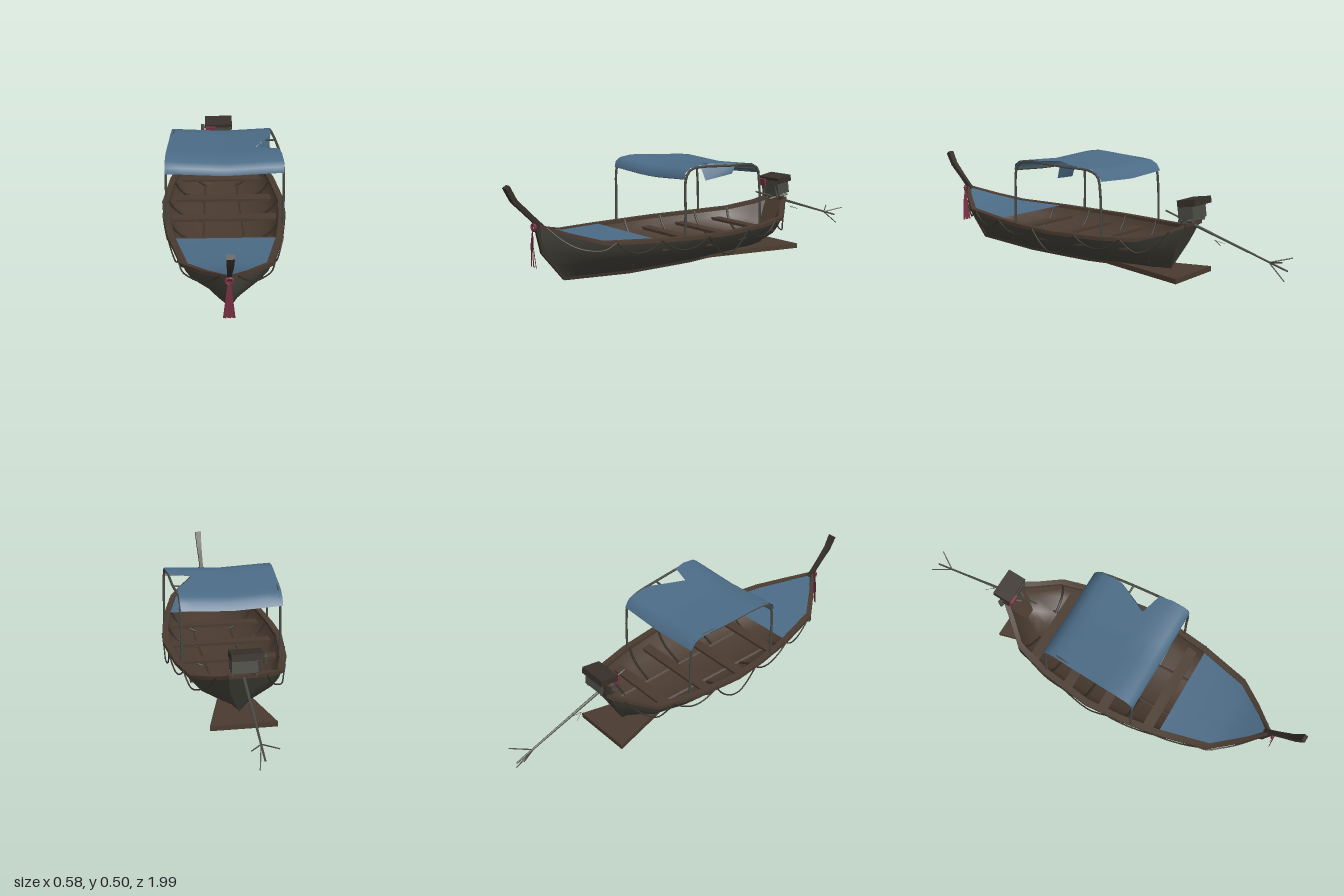
import * as THREE from 'three';
import { toCreasedNormals } from 'three/addons/utils/BufferGeometryUtils.js';

const paint = (name, color) => {
  const m = new THREE.MeshStandardMaterial({ color, side: THREE.DoubleSide });
  m.name = name;
  return m;
};
const V = (x, y, z) => new THREE.Vector3(x, y, z);

// Hull stations, bow to stern: gunwale z, half beam, sheer y, keel z, keel y
const STATIONS = [
  [0.85, 0.006, 0.28, 0.73, 0.04],
  [0.75, 0.1, 0.24, 0.68, 0.034],
  [0.64, 0.185, 0.207, 0.6, 0.028],
  [0.4, 0.243, 0.195, 0.4, 0.015],
  [0.22, 0.268, 0.188, 0.22, 0.012],
  [0.05, 0.28, 0.184, 0.05, 0.01],
  [-0.2, 0.248, 0.184, -0.2, 0.012],
  [-0.37, 0.2, 0.19, -0.34, 0.018],
  [-0.47, 0.11, 0.222, -0.39, 0.024],
  [-0.53, 0.062, 0.25, -0.42, 0.03],
];

function station(z) {
  let i = 0;
  while (i < STATIONS.length - 2 && STATIONS[i + 1][0] > z) i++;
  const a = STATIONS[i], b = STATIONS[i + 1];
  const t = THREE.MathUtils.clamp((a[0] - z) / (a[0] - b[0]), 0, 1);
  return a.map((v, k) => v + (b[k] - v) * t);
}

// Skin a list of equally long rows of points
function loft(rows, crease) {
  const n = rows[0].length, index = [];
  for (let r = 0; r < rows.length - 1; r++)
    for (let c = 0; c < n - 1; c++) {
      const a = r * n + c, b = a + n;
      index.push(a, b, a + 1, a + 1, b, b + 1);
    }
  const g = new THREE.BufferGeometry().setFromPoints(rows.flat());
  g.setIndex(index);
  g.computeVertexNormals();
  return crease ? toCreasedNormals(g, crease) : g;
}

// Full-width cross-section of the hull, from the left gunwale to the right one
function section([z, b, s, kz, k], half, inset) {
  const side = half.map(([fx, fy]) => {
    const bowCurve = z > 0.7 ? Math.sin(Math.PI * fy) * 0.035 * (z - 0.7) / 0.15 : 0;
    return V(Math.max(b - inset, 0) * fx, k + (s - k) * fy, kz + (z - kz) * fy + bowCurve);
  });
  const mirror = side.slice(1).map(p => V(-p.x, p.y, p.z));
  return [...side.slice().reverse(), ...mirror];
}

export function createModel() {
  const root = new THREE.Group();
  root.name = 'longBoat';
  const hullPaint = paint('weatheredHull', 0x45443c);
  const wood = paint('brownWood', 0x4a3b30);
  const darkWood = paint('darkWood', 0x37302a);
  const cloth = paint('blueCloth', 0x4c6c87);
  const red = paint('redCloth', 0x7a3145);
  const metal = paint('dullMetal', 0x4b4b45);
  const rope = paint('rope', 0x35312a);

  const add = (name, geo, mat) => {
    const m = new THREE.Mesh(geo, mat);
    m.name = name;
    root.add(m);
    return m;
  };
  const box = (name, w, h, d, x, y, z, mat, rx = 0) => {
    const m = add(name, new THREE.BoxGeometry(w, h, d), mat);
    m.position.set(x, y, z);
    m.rotation.x = rx;
    return m;
  };
  const rod = (name, a, b, r0, r1, mat, sides = 6) => {
    const m = add(name, toCreasedNormals(new THREE.CylinderGeometry(r1, r0, a.distanceTo(b), sides), 0.9), mat);
    m.position.copy(a).lerp(b, 0.5);
    m.quaternion.setFromUnitVectors(V(0, 1, 0), b.clone().sub(a).normalize());
    return m;
  };
  const tube = (name, pts, r, mat, segs = 16) =>
    add(name, new THREE.TubeGeometry(new THREE.CatmullRomCurve3(pts, false, 'centripetal'), segs, r, 5), mat);

  // Hull skin, inner lining with a flat floor, and raked transom
  const outer = [[0, 0], [0.4, 0.27], [0.78, 0.55], [0.92, 0.77], [1, 1]];
  const inner = [[0, 0.3], [0.4, 0.3], [0.78, 0.56], [0.92, 0.77], [1, 1]];
  const outerRows = STATIONS.map(s => section(s, outer, 0));
  const innerRows = STATIONS.map(s => section(s, inner, 0.012));
  add('hull', loft(outerRows, 0.9), hullPaint);
  add('hullLining', loft(innerRows), wood);
  const stern = outerRows.at(-1);
  const sternTop = stern.map(p => V(p.x, 0.25, -0.53));
  add('transom', loft([stern, sternTop], 0.5), hullPaint);
  add('transomLining', loft([stern, sternTop].map(r => r.map(p => V(p.x, p.y, p.z + 0.008))), 0.5), wood);
  box('sternRail', 0.13, 0.016, 0.028, 0, 0.252, -0.525, wood);

  // Gunwale rails, mirrored
  for (const s of [1, -1])
    add('gunwale', loft(STATIONS.map(([z, b, y]) =>
      [[0.008, 0.007], [-0.022, 0.007], [-0.022, -0.009], [0.008, -0.009], [0.008, 0.007]]
        .map(([dx, dy]) => V(s * Math.max(b + dx, 0), y + dy, z))), 0.6), wood);

  // Keel strip and stem
  const spine = [[0.862, 0.285], [0.835, 0.165], [0.735, 0.035], [0.4, 0.01], [0.05, 0.006], [-0.42, 0.024]];
  add('keel', loft(spine.map(([z, y]) => [[-0.008, 0.008], [-0.008, -0.006], [0.008, -0.006], [0.008, 0.008]]
    .map(([x, d]) => V(x, y + d, z + (y > 0.1 ? -d : 0)))), 0.6), darkWood);

  // Flared prow post
  const post = [[0.835, 0.27, 0.008, 0.014], [0.9, 0.335, 0.01, 0.012], [0.96, 0.395, 0.013, 0.013], [0.992, 0.455, 0.016, 0.012]];
  const postRows = post.map(([z, y, w, d]) => [[1, 1], [-1, 1], [-1, -1], [1, -1], [1, 1]]
    .map(([i, j]) => V(i * w, y + j * d * 0.5, z - j * d * 0.7)));
  const tip = postRows.at(-1);
  add('prowPost', loft([...postRows, tip.map(() => V(0, 0.455, 0.992))], 0.5), darkWood);

  // Red ribbons hanging from the prow
  add('ribbonKnot', new THREE.TorusGeometry(0.014, 0.006, 6, 10), red).position.set(0, 0.275, 0.872);
  for (let i = 0; i < 5; i++) {
    const x = (i - 2) * 0.009;
    const strip = (y, w, dz) => [V(x * (0.28 - y) * 6 - w, y, 0.875 + dz), V(x * (0.28 - y) * 6 + w, y, 0.878 + dz)];
    add('ribbon', loft([strip(0.278, 0.005, 0), strip(0.2, 0.006, 0.006), strip(0.105 + (i % 2) * 0.008, 0.006, (i % 2) * 0.008)]), red);
  }

  // Cloth cover over the foredeck
  add('bowCover', loft([0.41, 0.64, 0.75, 0.83].map(z => {
    const [, b, y] = station(z), w = Math.max(b - 0.018, 0.002);
    return [-1, -0.5, 0, 0.5, 1].map(f => V(f * w, y + 0.003, z));
  })), cloth);

  // Thwarts, side stringers and ribs
  for (const z of [0.35, 0.12, -0.08, -0.29]) {
    const [, b, y] = station(z);
    box('thwart', 2 * b * 0.9, 0.013, 0.05, 0, y - 0.045, z, wood);
  }
  for (const z of [0.45, 0.24, 0.02, -0.18, -0.36]) {
    const row = section(station(z), inner, 0.017);
    for (const s of [1, -1])
      tube('rib', row.slice(0, 4).map(p => V(s * p.x, p.y + 0.004, p.z)), 0.006, darkWood, 8);
  }
  for (const s of [1, -1])
    rod('floorStringer', V(s * 0.1, 0.072, 0.45), V(s * 0.08, 0.075, -0.36), 0.007, 0.007, wood, 4);

  // Triangular plank under the stern
  const plank = new THREE.Shape([[-0.15, 0.54], [0.145, 0.54], [0.004, 0], [-0.004, 0]].map(p => new THREE.Vector2(...p)));
  const plankMesh = add('sternPlank', new THREE.ExtrudeGeometry(plank, { depth: 0.023, bevelEnabled: false }), wood);
  plankMesh.rotation.x = -Math.PI / 2;
  plankMesh.position.y = 0.009;

  // Rope swags along both sides, the middle one hanging lowest
  const anchors = [0.83, 0.6, 0.4, 0.16, -0.08, -0.3, -0.48];
  const droops = [0.05, 0.05, 0.05, 0.095, 0.05, 0.06];
  for (const s of [1, -1])
    droops.forEach((d, i) => {
      const pts = [0, 0.2, 0.4, 0.6, 0.8, 1].map(t => {
        const z = anchors[i] + (anchors[i + 1] - anchors[i]) * t, [, b, y] = station(z);
        const sag = 4 * t * (1 - t) * d;
        return V(s * (b + 0.009 - sag * 0.12), y - sag, z);
      });
      tube('ropeSwag', pts, 0.0035, rope, 18);
    });

  // Canopy frame: one hoop each side, plus cross bars
  const hoop = [[0.28, 0.19, 0.26], [0.277, 0.3, 0.26], [0.272, 0.45, 0.257], [0.245, 0.485, 0.255], [0.19, 0.492, 0.25],
    [0, 0.482, 0.24], [-0.14, 0.473, 0.226], [-0.18, 0.45, 0.225], [-0.195, 0.37, 0.225], [-0.2, 0.19, 0.225]];
  for (const s of [1, -1]) tube('canopyHoop', hoop.map(([z, y, x]) => V(s * x, y, z)), 0.006, metal, 40);
  for (const [z, y, x] of [hoop[2], hoop[5], hoop[7]])
    tube('canopyCrossBar', [V(-x, y, z), V(0, y - 0.012, z), V(x, y, z)], 0.005, metal, 8);

  // Sagging canopy with a torn notch on the left: z, y, right edge, left edge
  const rows = [
    [0.282, 0.448, -0.262, 0.26], [0.276, 0.475, -0.262, 0.26], [0.25, 0.493, -0.262, 0.258], [0.19, 0.501, -0.26, 0.256],
    [0.13, 0.498, -0.257, 0.245], [0.1, 0.496, -0.255, 0.143], [0.025, 0.491, -0.25, 0.182], [-0.05, 0.487, -0.246, 0.222],
    [-0.1, 0.484, -0.242, 0.228], [-0.145, 0.48, -0.238, 0.226], [-0.18, 0.462, -0.236, 0.226], [-0.2, 0.432, -0.235, 0.224]];
  const sagY = (x, y) => y - 0.013 * (1 - Math.min(1, Math.abs(x) / 0.25));
  const across = [...Array(9).keys()].map(i => i / 8);
  add('canopy', loft(rows.map(([z, y, a, b]) => across.map(t => {
    const x = a + (b - a) * t;
    return V(x, sagY(x, y), z);
  }))), cloth);
  add('tornFlap', loft([[V(0.143, 0.488, 0.1), V(0.222, 0.486, -0.05)], [V(0.175, 0.415, 0.092), V(0.216, 0.44, -0.03)]]), cloth);

  // Engine on its stand
  const tilt = 0.15;
  box('engineBlock', 0.11, 0.07, 0.075, 0, 0.31, -0.525, metal, tilt);
  box('engineLid', 0.138, 0.03, 0.09, -0.01, 0.347, -0.53, darkWood, tilt);
  box('fuelTank', 0.05, 0.034, 0.06, -0.052, 0.331, -0.505, red, tilt);
  box('engineFoot', 0.02, 0.05, 0.05, -0.06, 0.292, -0.525, darkWood, tilt);
  rod('muffler', V(-0.092, 0.305, -0.525), V(-0.092, 0.338, -0.53), 0.01, 0.01, metal, 10);
  rod('exhaustPipe', V(-0.092, 0.325, -0.528), V(-0.05, 0.32, -0.525), 0.005, 0.005, metal);
  for (const s of [1, -1]) {
    rod('standLeg', V(s * 0.05, 0.255, -0.49), V(s * 0.03, 0.33, -0.49), 0.005, 0.005, metal);
    rod('standBrace', V(s * 0.05, 0.27, -0.56), V(s * 0.012, 0.25, -0.47), 0.005, 0.005, metal);
  }
  rod('standBar', V(-0.055, 0.268, -0.5), V(0.055, 0.268, -0.5), 0.006, 0.006, metal);

  // Long tail shaft with steering handle, fin and propeller guard prongs
  const end = V(-0.006, 0.105, -0.985), hub = V(-0.006, 0.13, -0.9);
  rod('tailShaft', V(0, 0.258, -0.5), end, 0.007, 0.004, metal);
  rod('steeringHandle', V(0, 0.258, -0.5), V(0, 0.293, -0.39), 0.005, 0.004, metal);
  for (const [x, y, z] of [[0.048, 0.152, -0.985], [-0.062, 0.15, -0.98], [0.012, 0.064, -0.98]])
    rod('tailProng', hub, V(x, y, z), 0.003, 0.0025, metal, 5);
  for (const s of [1, -1]) rod('shaftStay', V(s * 0.02 - 0.005, 0.175, -0.68), V(-0.005, 0.19, -0.64), 0.0012, 0.0012, metal, 4);
  return root;
}
